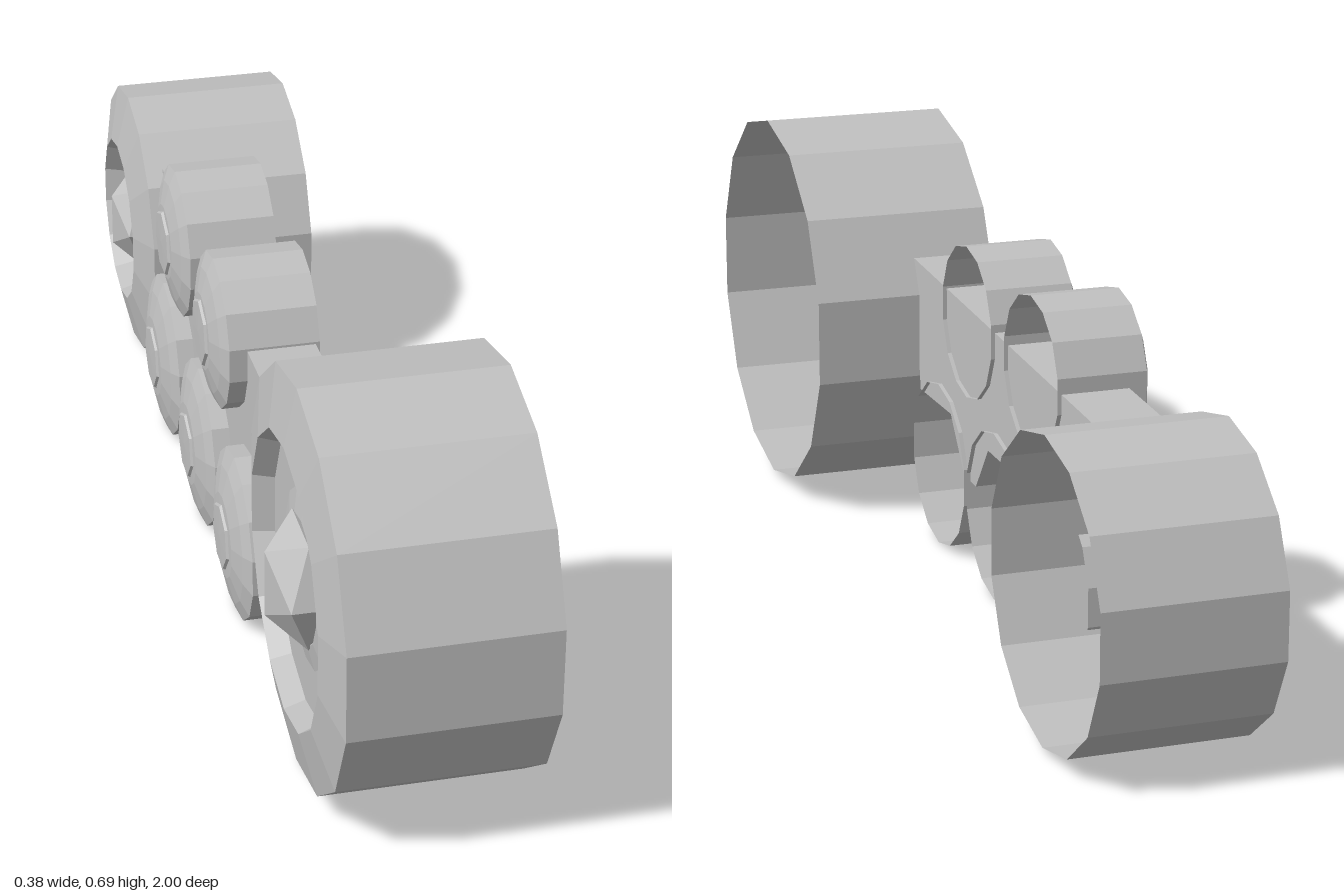
import * as THREE from 'three';

const grey = new THREE.MeshStandardMaterial({ color: 0xc0c0c0, flatShading: true, side: THREE.DoubleSide });
grey.name = 'grey';

// Revolves [radius, outward] points about the x axis; outward runs to -x, a corner sits on top.
function turned(name, points, sides, z, y) {
  const geo = new THREE.LatheGeometry(points.map(([r, h]) => new THREE.Vector2(r, h)), sides);
  geo.rotateY(Math.PI / 2);
  geo.rotateZ(Math.PI / 2);
  const mesh = new THREE.Mesh(geo, grey);
  mesh.name = name;
  mesh.position.set(0, y, z);
  return mesh;
}

// Large end wheel: hollow drum, bevelled face with a recessed disc and a faceted hub.
function endWheel(name, { z, y, r, inner, face, recess, groove, hub, hubTip }) {
  const group = new THREE.Group();
  group.name = name;
  group.add(turned(name + 'Drum', [[r, inner], [r, 0.14], [groove, face], [groove - 0.012, recess],
    [hub * 1.45, recess], [hub * 1.05, recess + 0.008], [hub * 0.95, recess - 0.005], [0, recess - 0.005]], 14, z, y));
  const knob = new THREE.Mesh(new THREE.IcosahedronGeometry(hub * 1.1, 0).rotateX(Math.PI / 2), grey);
  knob.name = name + 'Hub';
  knob.scale.x = 0.6;
  knob.position.set(-hubTip + 0.85 * 0.6 * hub * 1.1, y, z);
  group.add(knob);
  return group;
}

// Small road or return wheel: hollow drum with a shallow domed face and a small hub.
function smallWheel(name, z, y, r) {
  const group = new THREE.Group();
  group.name = name;
  group.add(turned(name + 'Drum', [[r, -0.01], [r, 0.142], [r * 0.8, 0.153], [r * 0.5, 0.163], [0, 0.166]], 14, z, y));
  group.add(turned(name + 'Hub', [[0.07, 0.148], [0.056, 0.168], [0, 0.169]], 7, z, y));
  return group;
}

export function createModel() {
  const model = new THREE.Group();
  model.name = 'trackRunningGear';

  // Side frame, drawn in (z, y) with arches over the road wheels
  const outline = [[0.37, 0.485], [0.335, 0.25], [0.16, 0.255], [0.085, 0.165], [0.02, 0.165], [-0.045, 0.25],
    [-0.155, 0.25], [-0.22, 0.165], [-0.31, 0.17], [-0.375, 0.25], [-0.48, 0.265], [-0.567, 0.45]];
  const shape = new THREE.Shape(outline.map(([z, y]) => new THREE.Vector2(-z, y)));
  const frameGeo = new THREE.ExtrudeGeometry(shape, { depth: 0.115, bevelEnabled: false });
  frameGeo.rotateY(Math.PI / 2);
  const frame = new THREE.Mesh(frameGeo, grey);
  frame.name = 'sideFrame';
  frame.position.x = -0.112;
  model.add(frame);

  // End wheels
  model.add(endWheel('frontWheel', { z: 0.67, y: 0.349, r: 0.338, inner: -0.19, face: 0.16, recess: 0.125, groove: 0.238, hub: 0.1, hubTip: 0.19 }));
  model.add(endWheel('rearWheel', { z: -0.756, y: 0.259, r: 0.25, inner: -0.155, face: 0.163, recess: 0.125, groove: 0.152, hub: 0.085, hubTip: 0.176 }));

  // Three road wheels below, two return wheels above
  [0.21, -0.095, -0.415].forEach((z, i) => model.add(smallWheel('roadWheel' + (i + 1), z, 0.148, 0.148)));
  [0.05, -0.28].forEach((z, i) => model.add(smallWheel('returnWheel' + (i + 1), z, 0.452, 0.134)));

  return model;
}
